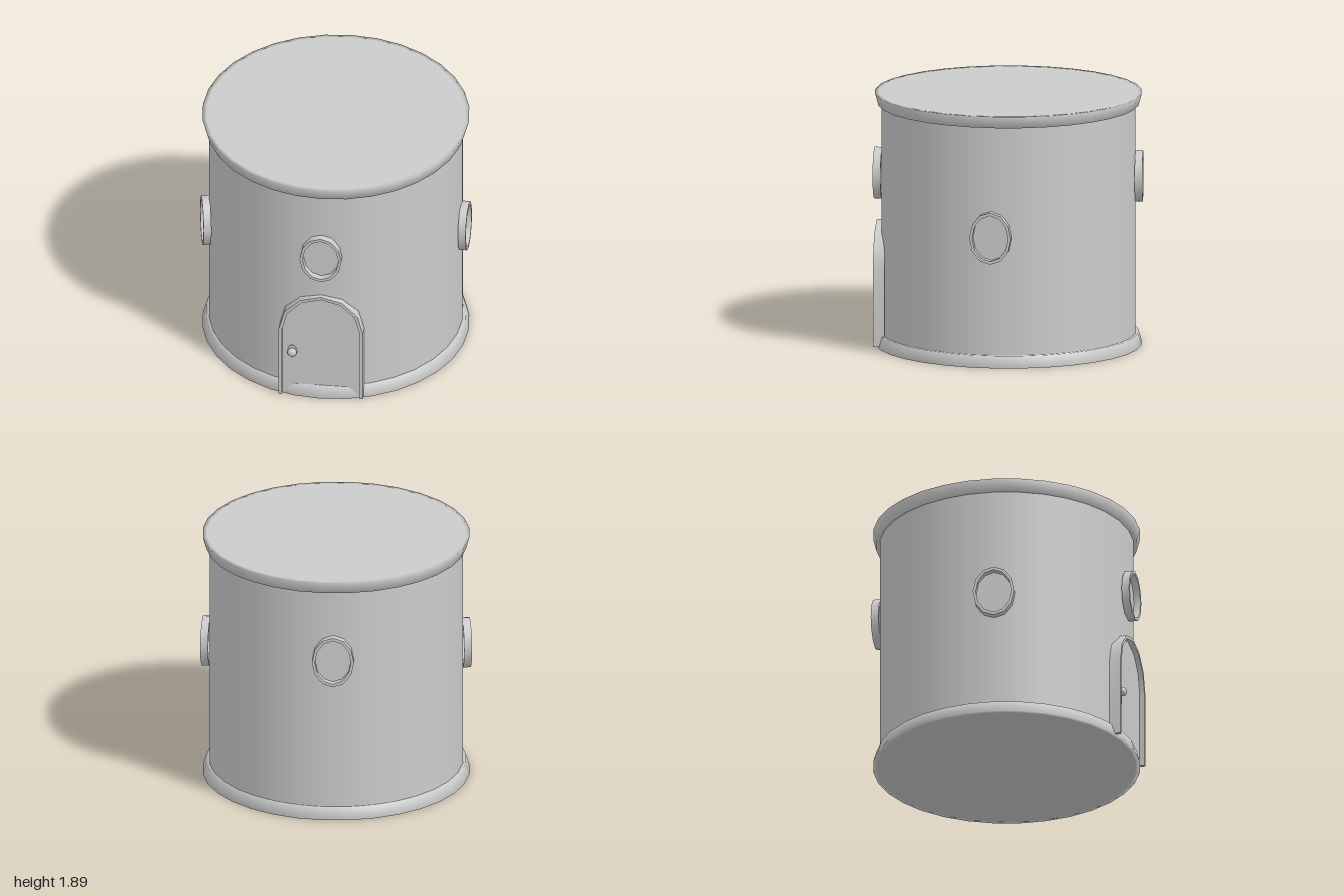
import * as THREE from 'three';
import { toCreasedNormals } from 'three/addons/utils/BufferGeometryUtils.js';

const WALL_R = 0.94;
const grey = new THREE.MeshStandardMaterial({ color: 0xcccccc });

function part(name, geometry) {
  const mesh = new THREE.Mesh(geometry, grey);
  mesh.name = name;
  return mesh;
}

const lathe = (profile) =>
  new THREE.LatheGeometry(profile.map(([r, y]) => new THREE.Vector2(r, y)), 32);

// Twelve-sided oval outline
function oval(rx, ry) {
  const points = [];
  for (let i = 0; i < 12; i++) {
    const a = (i / 12) * Math.PI * 2;
    points.push(new THREE.Vector2(Math.cos(a) * rx, Math.sin(a) * ry));
  }
  return points;
}

// Right-to-left arch with straight legs and a six-segment top
function arch(r, bottom, spring) {
  const points = [new THREE.Vector2(r, bottom)];
  for (let i = 0; i <= 6; i++) {
    const a = (i / 6) * Math.PI;
    points.push(new THREE.Vector2(Math.cos(a) * r, spring + Math.sin(a) * r));
  }
  points.push(new THREE.Vector2(-r, bottom));
  return points;
}

function extrude(shape, back, front, crease = 1) {
  const geo = new THREE.ExtrudeGeometry(shape, { depth: front - back, bevelEnabled: false });
  geo.translate(0, 0, back);
  return toCreasedNormals(geo, crease);
}

// Oval porthole set radially on the wall
function porthole(name, angle, y) {
  const group = new THREE.Group();
  group.name = name;
  const ring = new THREE.Shape(oval(0.155, 0.195));
  ring.holes.push(new THREE.Path(oval(0.133, 0.172)));
  group.add(part('windowFrame', extrude(ring, 0.935, 0.993)));
  const pane = new THREE.ShapeGeometry(new THREE.Shape(oval(0.14, 0.18)));
  pane.translate(0, 0, WALL_R + 0.002);
  group.add(part('windowPane', pane));
  group.position.y = y;
  group.rotation.y = angle;
  return group;
}

function door() {
  const group = new THREE.Group();
  group.name = 'door';

  // Arched surround, open at the floor
  const outline = [...arch(0.312, 0.01, 0.6), ...arch(0.288, 0.01, 0.6).reverse()];
  group.add(part('doorFrame', extrude(new THREE.Shape(outline), 0.89, 0.975)));

  // Flat panel almost flush with the wall, so the wall's ridge shows in its middle
  const panel = new THREE.Shape(arch(0.295, 0.01, 0.6));
  group.add(part('doorPanel', extrude(panel, 0.89, WALL_R - 0.001, 0.5)));

  // Handle
  const plate = part('handlePlate', extrude(new THREE.Shape(oval(0.04, 0.085)), 0.93, 0.946, 0.7));
  plate.position.set(-0.215, 0.355, 0);
  const stem = part('handleStem', new THREE.CylinderGeometry(0.016, 0.016, 0.03, 12));
  stem.rotation.x = Math.PI / 2;
  stem.position.set(-0.215, 0.387, 0.95);
  const knob = part('doorKnob', new THREE.SphereGeometry(0.035, 12, 8));
  knob.scale.z = 0.8;
  knob.position.set(-0.215, 0.387, 0.966);
  group.add(plate, stem, knob);
  return group;
}

export function createModel() {
  const model = new THREE.Group();
  model.name = 'roundHouse';

  model.add(part('wall', lathe([[WALL_R, 0.02], [WALL_R, 1.87]])));

  // Flared discs closing the bottom and the top
  model.add(part('base', lathe([[0, 0], [0.955, 0], [0.988, 0], [0.962, 0.088], [0.93, 0.088]])));
  model.add(part('roof', lathe([[0.93, 1.802], [0.964, 1.802], [0.988, 1.89], [0.955, 1.89], [0, 1.89]])));

  model.add(door());
  model.add(porthole('frontWindow', 0, 1.26));
  model.add(porthole('leftWindow', Math.PI / 2 - 0.042, 0.975));
  model.add(porthole('rightWindow', -Math.PI / 2 + 0.2, 0.975));
  model.add(porthole('backWindow', Math.PI + 0.073, 1.26));
  return model;
}
